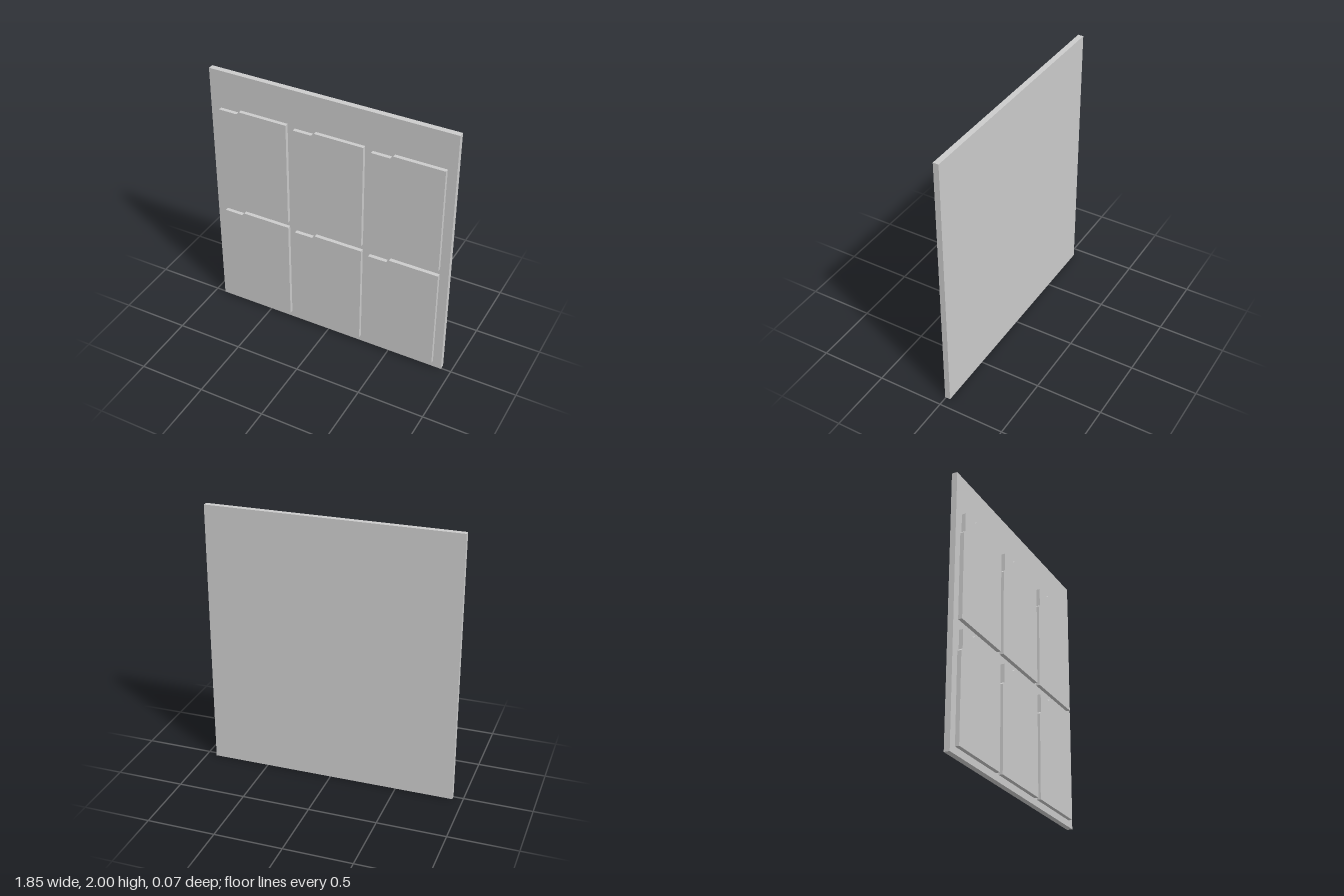
import * as THREE from 'three';

export function createModel() {
  const group = new THREE.Group();
  const material = new THREE.MeshStandardMaterial({ color: 0xcccccc, flatShading: true });

  // Flat backing board
  const boardFront = 0.006, depth = 0.035;
  const board = new THREE.Mesh(
    new THREE.BoxGeometry(1.85, 2, boardFront + depth), material);
  board.position.set(0, 1, (boardFront - depth) / 2);
  board.name = 'backBoard';
  group.add(board);

  // Raised panel outline with a stepped upper corner
  const w = 0.547, h = 0.816;
  const outline = new THREE.Shape([
    [0, 0], [w, 0], [w, h], [0.177, h], [0.156, h - 0.021],
    [0.016, h - 0.021], [0.016, h - 0.159], [0, h - 0.175],
  ].map(([x, y]) => new THREE.Vector2(x, y)));
  const panelGeometry = new THREE.ExtrudeGeometry(outline, {
    depth: depth - boardFront, bevelEnabled: false,
  });

  // Two rows of three panels
  for (let row = 0; row < 2; row++) {
    for (let col = 0; col < 3; col++) {
      const panel = new THREE.Mesh(panelGeometry, material);
      panel.position.set(-0.862 + col * 0.587, 0.05 + row * 0.863, boardFront);
      panel.name = `${row ? 'upper' : 'lower'}${['Right', 'Middle', 'Left'][col]}Panel`;
      group.add(panel);
    }
  }
  return group;
}
